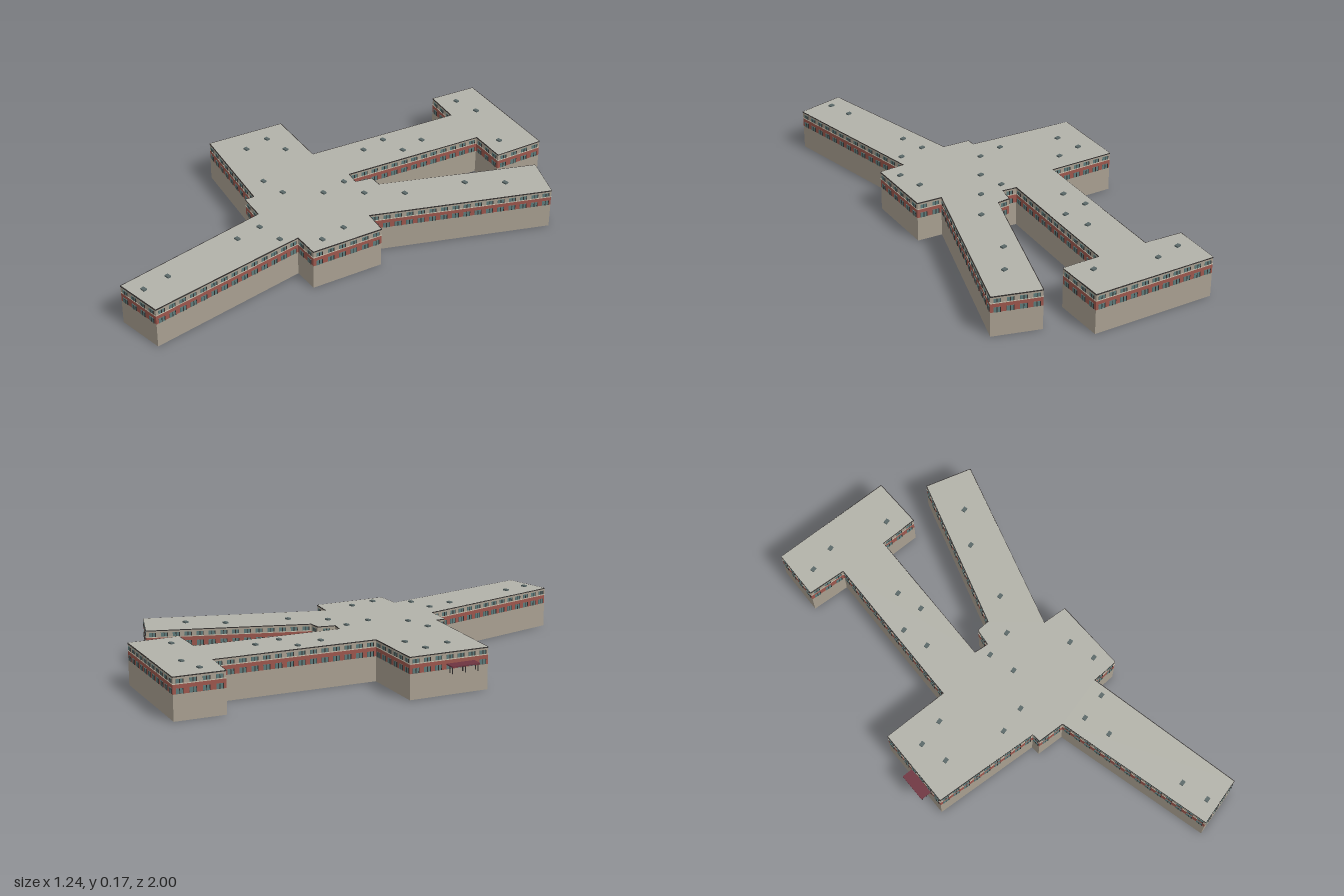
import * as THREE from 'three';
import { mergeGeometries } from 'three/addons/utils/BufferGeometryUtils.js';

const material = (name, color, side = THREE.FrontSide) =>
  Object.assign(new THREE.MeshStandardMaterial({ color, side }), { name });

// Footprint corners as [x, z]
const outline = [
  [-0.143, -0.998], [0.345, -0.862], [0.295, -0.66], [0.143, -0.7],
  [-0.027, -0.122], [0.03, -0.1], [0.058, -0.165], [0.11, -0.154],
  [0.45, -0.708], [0.617, -0.608], [0.235, 0.03], [0.333, 0.062],
  [0.26, 0.352], [0.152, 0.33], [0.122, 0.998], [-0.078, 0.998],
  [-0.07, 0.33], [-0.18, 0.297], [-0.172, 0.26], [-0.594, 0.124],
  [-0.505, -0.193], [-0.237, -0.122], [-0.05, -0.757], [-0.2, -0.805],
];

// Roof vent cells as [column, row] on a regular grid
const vents = [
  [-1, -7], [0, -7], [2, -6], [0, -4], [4, -4], [-1, -3], [0, -3], [3, -3],
  [-1, -2], [2, -1], [-4, 0], [-3, 0], [0, 0], [1, 0], [-4, 1], [0, 1],
  [-2, 2], [-1, 2], [2, 2], [2, 3], [0, 4], [1, 4], [0, 5], [0, 8], [0, 9],
];
const GRID = 0.1132;
const ROOF = 0.165;

export function createModel() {
  const mats = {
    stone: material('stone wall', 0xa89f90, THREE.DoubleSide),
    brick: material('red brick', 0x9c564c, THREE.DoubleSide),
    roof: material('roof grey', 0xb2b2a9, THREE.DoubleSide),
    glass: material('teal glass', 0x5c7a7a),
    frame: material('dark frame', 0x33302f),
    ledge: material('pale ledge', 0xc4bcab),
    canopy: material('canopy maroon', 0x6e3440),
    vent: material('vent grey', 0x5a6868),
  };
  const model = new THREE.Group();
  model.name = 'building';
  const parts = {};
  const add = (name, mat, geometry) => {
    parts[name] ??= { mat, list: [] };
    parts[name].list.push(geometry);
  };

  outline.forEach(([x0, z0], i) => {
    const [x1, z1] = outline[(i + 1) % outline.length];
    const dx = x1 - x0, dz = z1 - z0;
    const length = Math.hypot(dx, dz);
    // Local frame of this wall: +z points outwards
    const frame = new THREE.Matrix4().makeRotationY(Math.atan2(dz, -dx));
    frame.setPosition((x0 + x1) / 2, 0, (z0 + z1) / 2);

    const band = (name, mat, low, high) => {
      const g = new THREE.PlaneGeometry(length, high - low);
      add(name, mat, g.translate(0, (low + high) / 2, 0).applyMatrix4(frame));
    };
    const plate = (name, mat, x, low, high, width, depth) => {
      const g = new THREE.BoxGeometry(width, high - low, depth);
      add(name, mat, g.translate(x, (low + high) / 2, 0).applyMatrix4(frame));
    };

    // Plain base, brick storey, pale upper storey
    band('lowerWall', mats.stone, 0, 0.1);
    band('brickBand', mats.brick, 0.1, 0.137);
    band('upperWall', mats.stone, 0.137, ROOF);
    plate('ledge', mats.ledge, 0, 0.1365, 0.139, length, 0.003);
    plate('roofEdge', mats.frame, 0, 0.163, 0.1665, length, 0.003);

    // Two rows of windows, visible on both faces of the wall
    const count = Math.max(1, Math.floor(length / 0.046));
    for (let k = 0; k < count; k++) {
      const x = ((k + 0.5) / count - 0.5) * length;
      const width = 0.026;
      for (const [low, high] of [[0.101, 0.121], [0.141, 0.156]]) {
        plate('windows', mats.glass, x, low, high, width, 0.004);
        plate('mullions', mats.frame, x, low, high, 0.003, 0.006);
        plate('mullions', mats.frame, x + width / 2, low, high, 0.003, 0.006);
      }
    }
  });

  // Flat roof
  const shape = new THREE.Shape(outline.map(([x, z]) => new THREE.Vector2(x, -z)));
  add('roof', mats.roof, new THREE.ShapeGeometry(shape).rotateX(-Math.PI / 2).translate(0, ROOF + 0.0015, 0));

  for (const [column, row] of vents) {
    add('roofVents', mats.vent, new THREE.BoxGeometry(0.02, 0.007, 0.015)
      .translate(column * GRID, ROOF + 0.004, row * GRID - 0.066));
  }

  for (const [name, { mat, list }] of Object.entries(parts)) {
    const mesh = new THREE.Mesh(mergeGeometries(list), mat);
    mesh.name = name;
    model.add(mesh);
  }

  // Entrance canopy with slim posts
  const canopy = new THREE.Group();
  canopy.name = 'canopy';
  const slab = new THREE.Mesh(new THREE.BoxGeometry(0.045, 0.005, 0.118), mats.canopy);
  slab.name = 'canopySlab';
  slab.position.y = 0.12;
  canopy.add(slab);
  for (const x of [-0.016, 0.004]) {
    for (const z of [-0.054, 0, 0.054]) {
      const post = new THREE.Mesh(new THREE.BoxGeometry(0.003, 0.027, 0.003), mats.frame);
      post.name = 'canopyPost';
      post.position.set(x, 0.105, z);
      canopy.add(post);
    }
  }
  canopy.position.set(-0.585, 0, 0.003);
  canopy.rotation.y = -0.272;
  model.add(canopy);

  return model;
}
